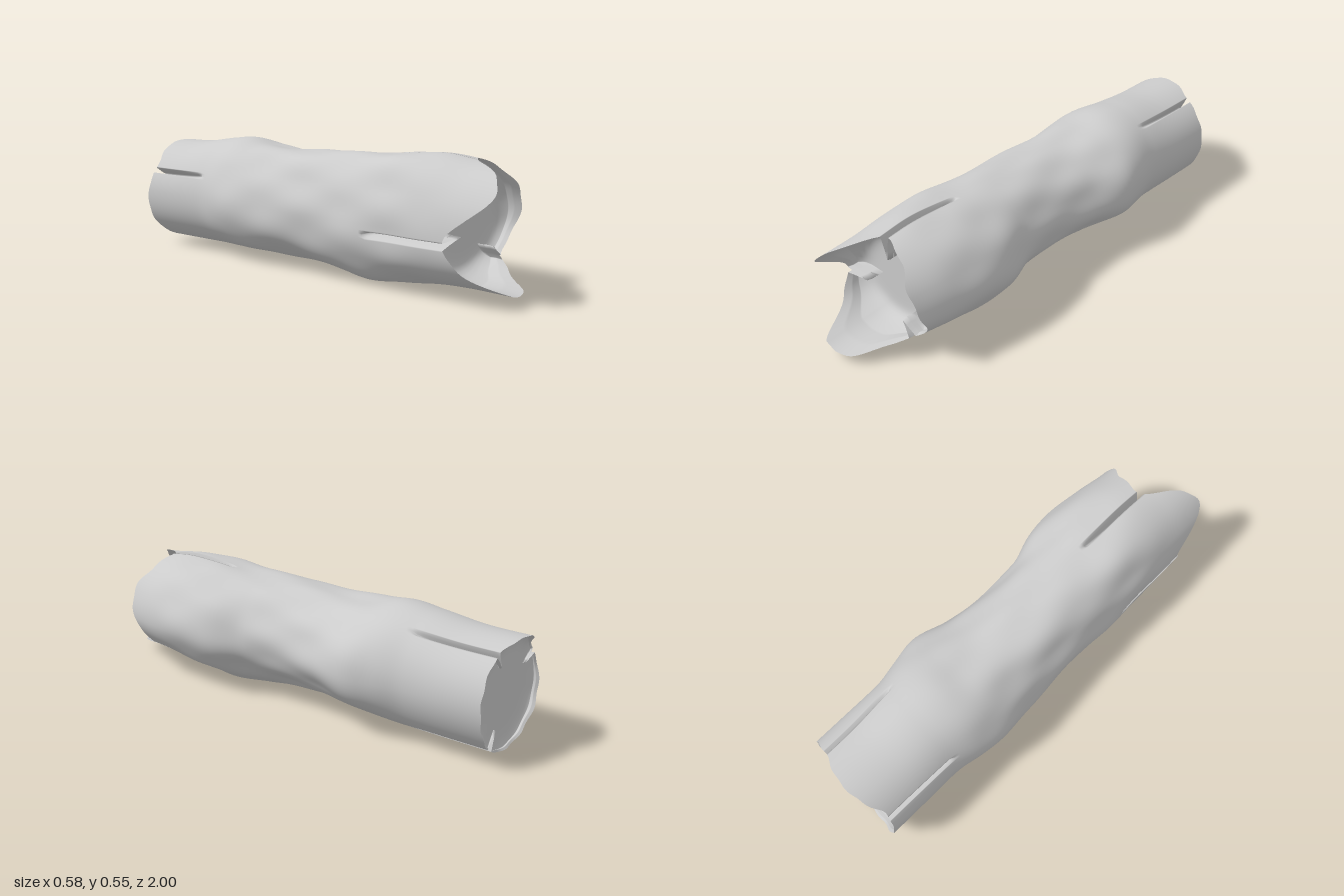
import * as THREE from 'three';

const SEG = 360, TAU = Math.PI * 2, CY = 0.27, DEG = Math.PI / 180;
const FRONT_FACE = 0.7, BACK_FACE = -0.94, LIP = 0.008;
const { lerp, smoothstep } = THREE.MathUtils;

// Half extents along the trunk: z, right, left, up, down
const STATIONS = [
  [-1, .235, .257, .23, .25], [-.8, .235, .257, .235, .248], [-.6, .235, .258, .262, .245],
  [-.48, .26, .28, .27, .24], [-.36, .28, .29, .25, .235], [-.2, .24, .275, .237, .23],
  [0, .212, .263, .246, .23], [.2, .225, .257, .255, .258], [.34, .275, .262, .26, .27],
  [.48, .285, .26, .275, .253], [.64, .272, .256, .28, .23], [.8, .25, .25, .262, .22],
  [1, .245, .245, .25, .222],
];
// Values every 30 degrees, counter-clockwise from +x
const SHAPE_FRONT = [1, .99, .97, .99, .99, .98, 1, 1.09, 1.08, .98, .88, .9];
const SHAPE_MIDDLE = [1, .99, .98, .99, 1.04, .97, 1, 1.07, 1.06, .98, .89, .92];
const SHAPE_BACK = [1, 1.01, 1, 1, .99, .98, 1, 1.03, 1.02, .99, .98, .98];
const RIM_FRONT = [.79, .82, .78, .76, .93, .94, .79, .83, 1, .97, .84, .76];
const RIM_BACK = [-.95, -.95, -.96, -.995, -.99, -.95, -.97, -.98, -.97, -.96, -.95, -.95];
// Splits: angle, depth
const SPLITS_FRONT = [[90, .115], [189, .13], [317, .075]];
const SPLITS_BACK = [[57, .075], [157, .075], [302, .075]];

const cubic = (a, b, c, d, t) =>
  b + 0.5 * t * (c - a + t * (2 * a - 5 * b + 4 * c - d + t * (3 * (b - c) + d - a)));

function around(table, th) {
  const n = table.length, u = (th / TAU) * n, i = Math.floor(u);
  const at = (k) => table[(i + k + n) % n];
  return cubic(at(-1), at(0), at(1), at(2), u - i);
}

function along(z, col) {
  const last = STATIONS.length - 1;
  let i = 0;
  while (i < last - 1 && z > STATIONS[i + 1][0]) i++;
  const at = (k) => STATIONS[Math.min(last, Math.max(0, i + k))][col];
  const t = (z - STATIONS[i][0]) / (STATIONS[i + 1][0] - STATIONS[i][0]);
  return cubic(at(-1), at(0), at(1), at(2), Math.min(1, Math.max(0, t)));
}

// Unsplit trunk radius
function trunkRadius(th, z) {
  const c = Math.cos(th), s = Math.sin(th);
  const ex = along(z, c > 0 ? 1 : 2), ey = along(z, s > 0 ? 3 : 4);
  const endShape = around(z > 0 ? SHAPE_FRONT : SHAPE_BACK, th);
  const end = z > 0 ? smoothstep(z, 0.45, 0.8) : smoothstep(-z, 0.2, 0.65);
  const r = lerp(around(SHAPE_MIDDLE, th), endShape, end) / Math.hypot(c / ex, s / ey);
  const lumps = Math.sin(5 * th + 7 * z) * Math.sin(9 * z + 2 * th) + 0.6 * Math.sin(9 * th - 11 * z);
  return r + 0.004 * (1 - end) * lumps;
}

// How deep a split cuts in at this angle and distance along the trunk
function splitDepth(th, z) {
  let cut = 0;
  const front = z > 0, start = front ? 0.4 : 0.6;
  const ramp = Math.min(1, Math.max(0, (Math.abs(z) - start) / 0.3));
  for (const [deg, depth] of front ? SPLITS_FRONT : SPLITS_BACK) {
    let d = Math.abs(th - deg * DEG);
    d = Math.min(d, TAU - d) / (3 * DEG);
    if (d < 1) cut = Math.max(cut, depth * Math.sqrt(ramp) * (1 - d));
  }
  return cut;
}

const barkRadius = (th, z) => trunkRadius(th, z) - splitDepth(th, z);
const rimFront = (th) => Math.min(1, around(RIM_FRONT, th) + 0.006 * Math.sin(11 * th));
const rimBack = (th) => Math.max(-1, around(RIM_BACK, th) + 0.003 * Math.sin(13 * th));

// Skin a series of rings; point(k, th) gives [radius, z]
function skin(name, rings, point, material) {
  const pos = [], index = [];
  for (let k = 0; k < rings; k++) {
    for (let j = 0; j < SEG; j++) {
      const th = (j / SEG) * TAU, [r, z] = point(k, th);
      pos.push(r * Math.cos(th), CY + r * Math.sin(th), z);
      if (k === rings - 1) continue;
      const a = k * SEG + j, b = k * SEG + ((j + 1) % SEG);
      index.push(a, b, b + SEG, a, b + SEG, a + SEG);
    }
  }
  const geo = new THREE.BufferGeometry();
  geo.setAttribute('position', new THREE.Float32BufferAttribute(pos, 3));
  geo.setIndex(index);
  geo.computeVertexNormals();
  const mesh = new THREE.Mesh(geo, material);
  mesh.name = name;
  return mesh;
}

// Bark lip running inwards, rounding into the wood face
function endPoint(t, th, rimZ, faceZ) {
  const footZ = lerp(faceZ, rimZ, 0.4);
  if (t <= 1) {
    const z = lerp(rimZ, footZ, t);
    return [barkRadius(th, z) - LIP * Math.min(1, t * 2), z];
  }
  const f = 2 - t;
  const wall = barkRadius(th, footZ) - LIP;
  const bowl = Math.pow(f, 10) * (footZ - faceZ);
  return [Math.max(0, Math.min(wall, f * (trunkRadius(th, footZ) - LIP))), faceZ + bowl];
}

export function createModel() {
  const group = new THREE.Group();
  group.name = 'log';
  const material = new THREE.MeshStandardMaterial({ color: 0xcccccc, side: THREE.DoubleSide });

  // Outer bark, stretched at each end to its ragged rim
  const rings = 81;
  group.add(skin('bark', rings, (k, th) => {
    const s = -1 + (2 * k) / (rings - 1);
    let z = s;
    if (s > 0.35) z = lerp(0.35, rimFront(th), (s - 0.35) / 0.65);
    if (s < -0.55) z = lerp(-0.55, rimBack(th), (-0.55 - s) / 0.45);
    return [barkRadius(th, z), z];
  }, material));

  // Wood faces set inside the bark lips
  const steps = 36;
  group.add(skin('frontWoodFace', steps + 1,
    (k, th) => endPoint((2 * k) / steps, th, rimFront(th), FRONT_FACE), material));
  group.add(skin('backWoodFace', steps + 1,
    (k, th) => endPoint((2 * (steps - k)) / steps, th, rimBack(th), BACK_FACE), material));
  return group;
}
